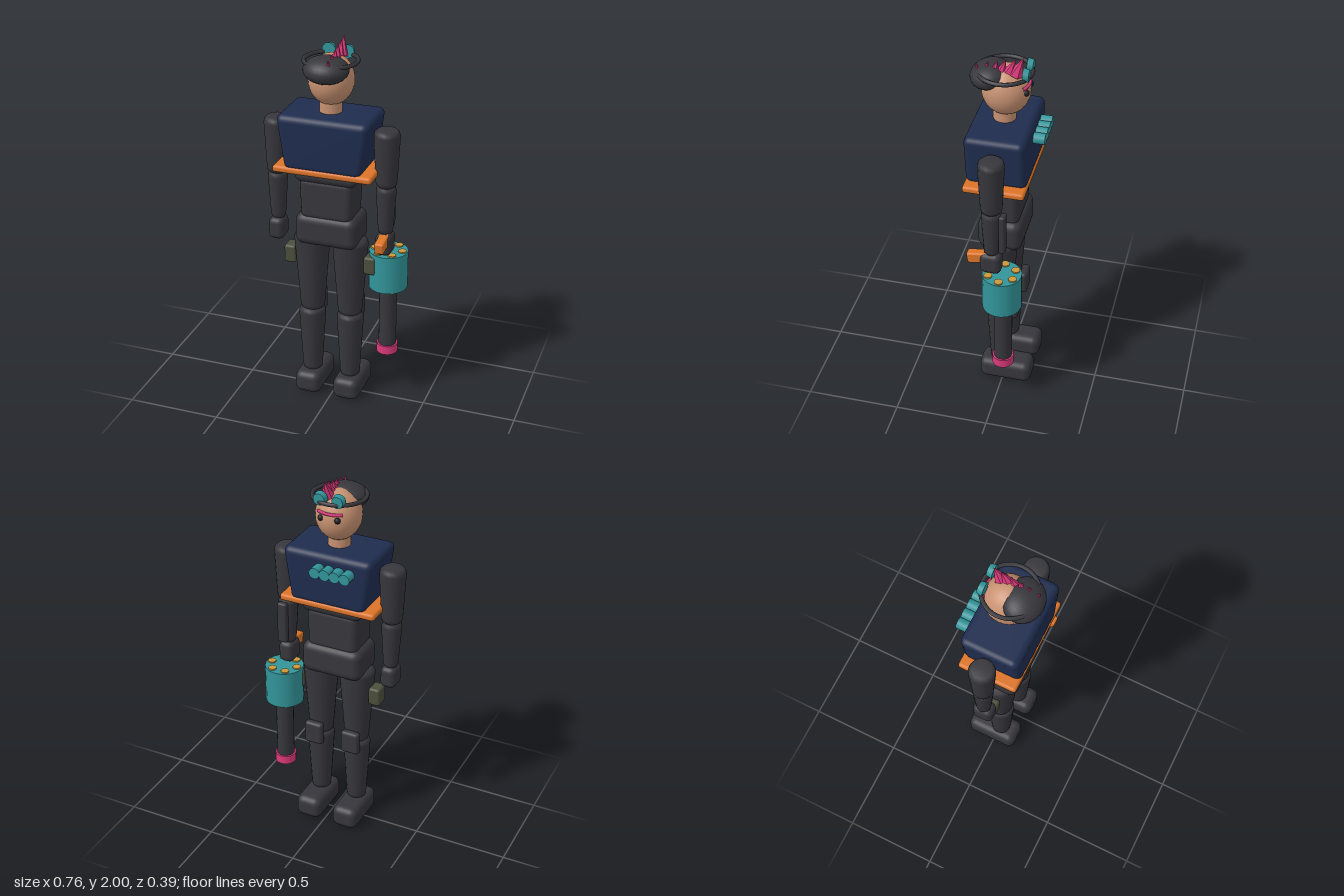
import * as THREE from 'three';
import { RoundedBoxGeometry } from 'three/addons/geometries/RoundedBoxGeometry.js';

const paint = (name, color, extra = {}) => {
  const m = new THREE.MeshStandardMaterial({ color, ...extra });
  m.name = name;
  return m;
};

export function createModel() {
  const model = new THREE.Group();
  model.name = 'armedFigure';
  const dark = paint('charcoal', 0x36363c);
  const navy = paint('navy', 0x1e2c4e);
  const orange = paint('orange', 0xdc7428);
  const teal = paint('teal', 0x32959a);
  const pink = paint('pink', 0xdc3a7c);
  const skin = paint('skin', 0xc89272);
  const gold = paint('gold', 0xcc9a3c);
  const olive = paint('olive', 0x4b4f3c);
  const black = paint('eyeBlack', 0x1c1c20);
  const CX = -0.02; // body centre line
  const CZ = 0.02;

  const add = (name, geo, mat, x, y, z) => {
    const mesh = new THREE.Mesh(geo, mat);
    mesh.name = name;
    mesh.position.set(x, y, z);
    model.add(mesh);
    return mesh;
  };

  // Rounded box whose width and depth scale towards the bottom
  const box = (w, h, d, r, taperX = 1, taperZ = 1) => {
    const g = new RoundedBoxGeometry(w, h, d, 3, r);
    const p = g.attributes.position;
    for (let i = 0; i < p.count; i++) {
      const t = 0.5 - p.getY(i) / h;
      p.setX(i, p.getX(i) * (1 + (taperX - 1) * t));
      p.setZ(i, p.getZ(i) * (1 + (taperZ - 1) * t));
    }
    return g;
  };

  // Tapered limb with softened ends, standing from y0 to y1
  const limb = (name, x, z, y0, y1, r0, r1, depth = 1) => {
    const e = 0.03;
    const pts = [[0, y0], [r0 * 0.75, y0], [r0 * 0.94, y0 + e * 0.4], [r0, y0 + e],
      [r1, y1 - e], [r1 * 0.92, y1 - e * 0.4], [r1 * 0.72, y1], [0, y1]];
    const g = new THREE.LatheGeometry(pts.map(([a, b]) => new THREE.Vector2(a, b)), 18);
    const mesh = add(name, g, dark, x, 0, z);
    mesh.scale.z = depth;
    return mesh;
  };

  // Torso
  add('vest', box(0.49, 0.29, 0.31, 0.035, 0.82), navy, CX, 1.49, CZ);
  add('vestTrim', box(0.525, 0.037, 0.315, 0.015), orange, CX, 1.345, CZ);
  add('ribcage', box(0.4, 0.2, 0.26, 0.04, 0.8, 0.85), dark, CX, 1.365, CZ);
  add('abdomen', box(0.29, 0.23, 0.2, 0.035, 0.94), dark, CX, 1.175, CZ);
  add('pelvis', box(0.335, 0.175, 0.23, 0.045), dark, CX, 1.0, 0.015);

  // Chest canisters
  for (let i = 0; i < 4; i++) {
    const c = add('chestCanister', new THREE.CylinderGeometry(0.029, 0.029, 0.08, 14), teal,
      -0.147 + i * 0.054, 1.557, -0.155);
    c.rotation.x = Math.PI / 2;
  }

  // Mirrored limbs
  for (const s of [-1, 1]) {
    const leg = limb('thigh', CX + s * 0.105, CZ, 0.5, 0.95, 0.066, 0.096, 0.95);
    leg.rotation.z = 0;
    limb('shin', CX + s * 0.107, CZ, 0.12, 0.51, 0.054, 0.073);
    add('boot', box(0.145, 0.125, 0.285, 0.04), dark, CX + s * 0.109, 0.066, -0.017);
    add('kneePad', box(0.105, 0.13, 0.045, 0.018), dark, CX + s * 0.107, 0.52, -0.062);
    add('thighPouch', box(0.065, 0.1, 0.085, 0.014), olive, CX + s * 0.22, 0.81, 0.015);
    const ax = CX + s * 0.294;
    limb('upperArm', ax, CZ - 0.003, 1.265, 1.57, 0.056, 0.068);
    limb('forearm', ax, CZ - 0.003, 1.005, 1.27, 0.04, 0.053);
    add('hand', box(0.085, 0.12, 0.11, 0.03), dark, ax, 0.95, CZ);
  }
  add('forearmGuard', box(0.055, 0.23, 0.035, 0.012), dark, 0.278, 1.14, -0.04);

  // Neck and head
  add('neck', new THREE.CylinderGeometry(0.058, 0.058, 0.13, 18), skin, CX, 1.655, CZ);
  add('head', new THREE.SphereGeometry(1, 28, 20), skin, CX, 1.8, 0.013).scale.set(0.117, 0.131, 0.123);
  const hair = add('hairCap', new THREE.SphereGeometry(1, 24, 16), dark, CX, 1.872, 0.092);
  hair.scale.set(0.117, 0.066, 0.1);
  hair.rotation.x = 0.14;
  const strap = add('goggleStrap', new THREE.TorusGeometry(0.135, 0.011, 8, 36), dark, CX, 1.9, CZ);
  strap.rotation.x = Math.PI / 2;

  // Face
  for (const s of [-1, 1]) {
    add('eye', new THREE.SphereGeometry(0.016, 12, 8), black, CX + s * 0.045, 1.815, -0.097);
    const lens = add('goggleLens', new THREE.CylinderGeometry(0.03, 0.036, 0.03, 14), teal,
      CX + s * 0.049, 1.915, -0.098);
    lens.rotation.x = -Math.PI / 2;
  }
  const stripe = add('faceStripe', new THREE.TorusGeometry(0.117, 0.008, 6, 16, 1.2), pink, CX, 1.843, 0.013);
  stripe.rotation.set(Math.PI / 2, 0, -Math.PI / 2 - 0.6);

  // Mohawk: [base z, base y, tip z, tip y, radius]
  const up = new THREE.Vector3(0, 1, 0);
  for (const [bz, by, tz, ty, r] of [
    [-0.04, 1.905, -0.08, 2.0, 0.036], [-0.008, 1.915, -0.043, 1.99, 0.027],
    [0.027, 1.92, 0.005, 1.98, 0.021], [0.06, 1.925, 0.047, 1.97, 0.016],
    [0.103, 1.92, 0.096, 1.96, 0.012], [0.146, 1.9, 0.155, 1.945, 0.012]]) {
    const dir = new THREE.Vector3(0, ty - by, tz - bz);
    const g = new THREE.ConeGeometry(r, dir.length(), 6).toNonIndexed();
    g.computeVertexNormals();
    const spike = add('mohawkSpike', g, pink, 0.013, (by + ty) / 2, (bz + tz) / 2);
    spike.quaternion.setFromUnitVectors(up, dir.normalize());
  }

  // Rotary gun held in the left hand
  const GX = 0.277, GZ = -0.036;
  add('gunDrum', new THREE.CylinderGeometry(0.103, 0.103, 0.208, 18), teal, GX, 0.776, GZ);
  for (let i = 0; i < 6; i++) {
    const a = i * Math.PI / 3;
    add('drumRound', new THREE.CylinderGeometry(0.022, 0.022, 0.222, 12), gold,
      GX + Math.cos(a) * 0.074, 0.776, GZ + Math.sin(a) * 0.074);
  }
  add('gunBarrel', new THREE.CylinderGeometry(0.047, 0.047, 0.37, 18), dark, GX, 0.495, GZ - 0.005);
  add('gunMuzzle', new THREE.CylinderGeometry(0.057, 0.057, 0.05, 18), pink, GX, 0.297, GZ - 0.005);
  const grip = add('gunGrip', box(0.05, 0.06, 0.13, 0.01), orange, GX, 0.974, 0.078);
  grip.rotation.x = 0.15;

  return model;
}
